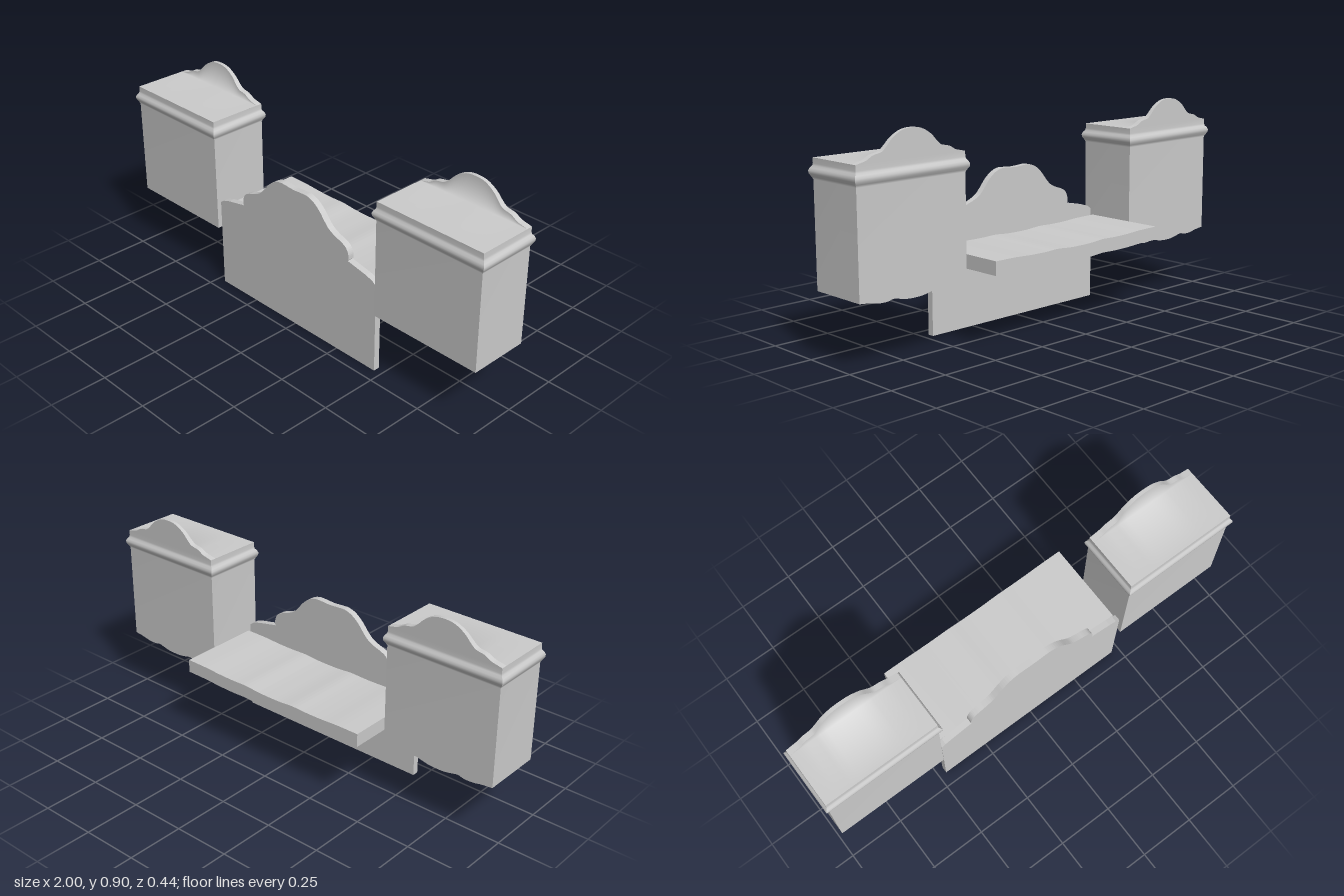
import * as THREE from 'three';

const material = new THREE.MeshStandardMaterial({ color: 0xcccccc, side: THREE.DoubleSide });

// Smooth surface through rows of [x, y, z] points; faces row direction x column direction
function surface(rows) {
  const n = rows[0].length, index = [];
  for (let i = 0; i < rows.length - 1; i++) {
    for (let j = 0; j < n - 1; j++) {
      const a = i * n + j, b = a + n;
      index.push(a, b, b + 1, a, b + 1, a + 1);
    }
  }
  const g = new THREE.BufferGeometry();
  g.setAttribute('position', new THREE.Float32BufferAttribute(rows.flat(2), 3));
  g.setIndex(index);
  g.computeVertexNormals();
  return g;
}

function add(parent, geometry, name) {
  const mesh = new THREE.Mesh(geometry, material);
  mesh.name = name;
  parent.add(mesh);
  return mesh;
}

// Mirrors a half outline (centre to edge) and smooths it with a spline
function mirroredCurve(half, samples) {
  const right = half.map(([x, y]) => new THREE.Vector3(x, y, 0));
  const left = right.slice(1).reverse().map(p => new THREE.Vector3(-p.x, p.y, 0));
  return new THREE.CatmullRomCurve3([...left, ...right], false, 'centripetal').getPoints(samples);
}

const HALF = 0.257, FRONT = 0.209, BACK = -0.057, BASE = 0.277, TOP = 0.787;

// Wall outline: outward offset and height, with the moulding near the top
const wallProfile = [[0, BASE], [0, 0.705], [0.005, 0.715], [0.012, 0.727],
  [0.013, 0.738], [0.009, 0.748], [0.002, 0.757], [0, 0.765], [0, TOP]];

// Height of the crest and depth of the apron, from centre to edge
const crestHalf = [[0, 0.113], [0.045, 0.107], [0.09, 0.082], [0.12, 0.052],
  [0.14, 0.036], [0.18, 0.027], [0.21, 0.011], [0.235, 0.005], [HALF, 0]];
const apronHalf = [[0, 0.022], [0.04, 0.020], [0.075, 0.013], [0.10, 0.008],
  [0.13, 0.014], [0.17, 0.013], [0.205, 0.006], [0.235, 0.002], [HALF, 0]];

// End surface that sweeps up (or down) into a scalloped rim along the back
function addRim(parent, half, y, dir, name) {
  const pts = mirroredCurve(half, 64);
  if (dir < 0) pts.reverse();
  const group = new THREE.Group();
  group.name = name;
  parent.add(group);
  const edge = p => y + dir * Math.max(0, p.y);
  const lip = p => -0.03 - 0.1 * Math.max(0, p.y);
  add(group, surface(pts.map(p => [[p.x, y, FRONT], [p.x, y, -0.03], [p.x, edge(p), lip(p)]])), name + 'Slope');
  add(group, surface(pts.map(p => [[p.x, edge(p), lip(p)], [p.x, edge(p), BACK]])), name + 'Edge');
  add(group, surface(pts.map(p => [[p.x, edge(p), BACK], [p.x, y, BACK]])), name + 'Back');
}

function makePedestal(name) {
  const g = new THREE.Group();
  g.name = name;
  const corner = (k, o) => [
    [-HALF - o, FRONT + o], [HALF + o, FRONT + o],
    [HALF + o, BACK - o], [-HALF - o, BACK - o]][k % 4];
  ['frontWall', 'leftWall', 'backWall', 'rightWall'].forEach((wall, k) => {
    const row = c => wallProfile.map(([o, y]) => {
      const [x, z] = corner(c, o);
      return [x, y, z];
    });
    add(g, surface([row(k), row(k + 1)]), wall);
  });
  addRim(g, crestHalf, TOP, 1, 'crest');
  addRim(g, apronHalf, BASE, -1, 'apron');
  return g;
}

// Front board with a stepped, scrolled top edge
function makePanel() {
  const shoulder = [[0.31, 0.45], [0.36, 0.44], [0.41, 0.43], [0.445, 0.419], [0.465, 0.405]];
  const arch = [[0, 0.646], [0.05, 0.649], [0.08, 0.649], [0.115, 0.637], [0.15, 0.61], [0.18, 0.575],
    [0.205, 0.55], [0.24, 0.532], [0.275, 0.52], [0.3, 0.505], [0.313, 0.48], [0.315, 0.455]];
  const top = mirroredCurve(arch, 80).map(p => new THREE.Vector2(p.x, p.y));
  const right = shoulder.map(([x, y]) => new THREE.Vector2(x, y));
  const left = right.map(p => new THREE.Vector2(-p.x, p.y)).reverse();
  const outline = [new THREE.Vector2(-0.465, 0), ...left, ...top, ...right, new THREE.Vector2(0.465, 0)];
  const geo = new THREE.ExtrudeGeometry(new THREE.Shape(outline), { depth: 0.028, bevelEnabled: false });
  return geo.translate(0, 0, 0.167);
}

// Counter slab with a gently waved profile across its width
function makeShelf() {
  const wave = mirroredCurve([[0, -0.010], [0.06, -0.009], [0.13, -0.004], [0.2, -0.006],
    [0.28, -0.005], [0.36, -0.001], [0.465, 0]], 48);
  const outline = [
    ...wave.map(p => new THREE.Vector2(p.x, 0.32 + p.y)),
    ...wave.slice().reverse().map(p => new THREE.Vector2(p.x, 0.378 + p.y))];
  const geo = new THREE.ExtrudeGeometry(new THREE.Shape(outline), { depth: 0.374, bevelEnabled: false });
  return geo.translate(0, 0, -0.219);
}

export function createModel() {
  const model = new THREE.Group();
  model.name = 'counterWithPedestals';
  for (const [side, s] of [['left', 1], ['right', -1]]) {
    const pedestal = makePedestal(side + 'Pedestal');
    pedestal.position.x = s * 0.73;
    model.add(pedestal);
  }
  add(model, makePanel(), 'frontPanel');
  add(model, makeShelf(), 'shelf');
  return model;
}
